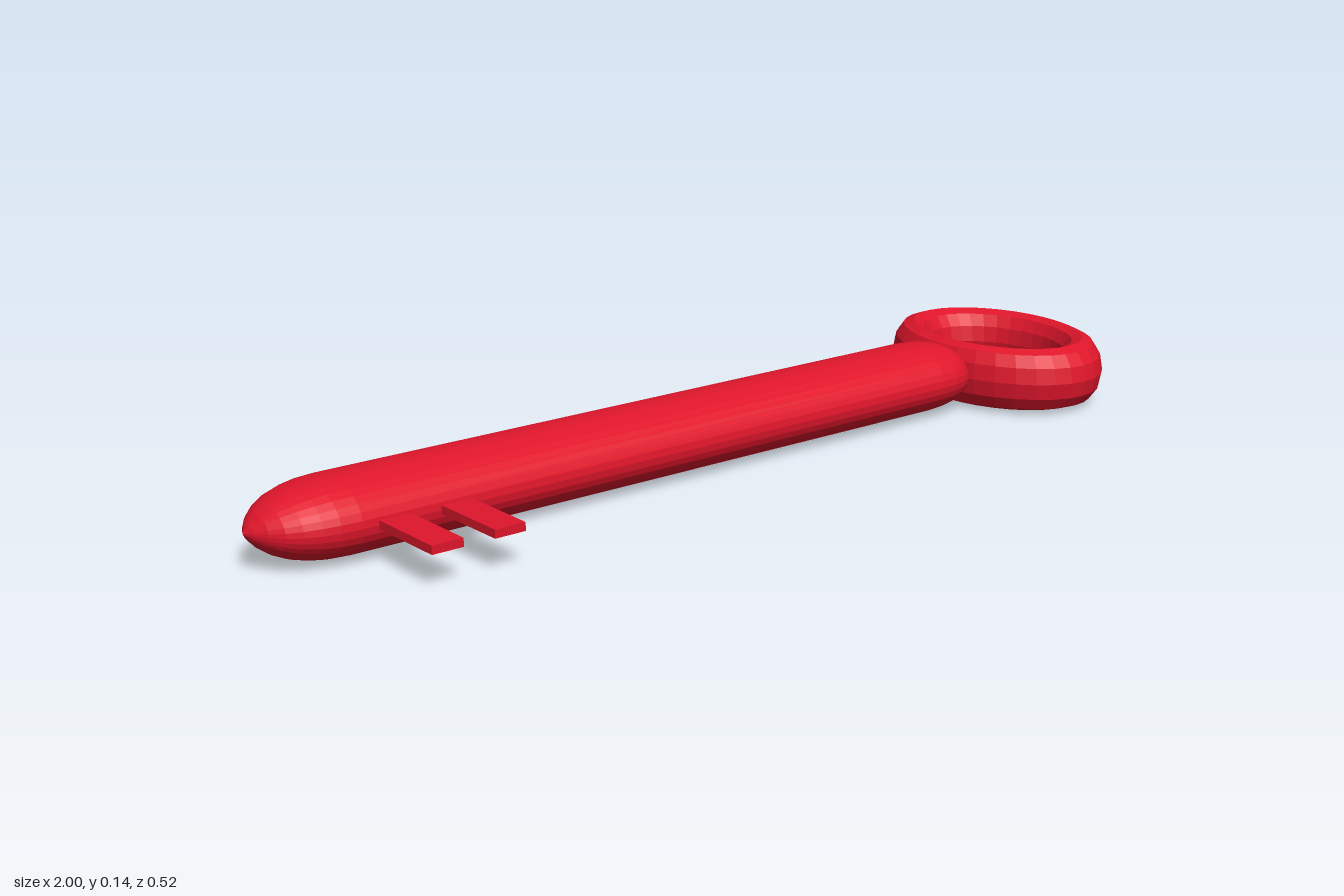
import * as THREE from 'three';

export function createModel() {
  const key = new THREE.Group();
  key.name = 'key';
  const red = new THREE.MeshStandardMaterial({ color: 0xe0162b, flatShading: true });
  const midY = 0.071, midZ = -0.005;

  const add = (name, geometry, x, y, z) => {
    const mesh = new THREE.Mesh(geometry, red);
    mesh.name = name;
    mesh.position.set(x, y, z);
    key.add(mesh);
    return mesh;
  };

  // Shaft: oval bar along x, with a rounded tip and a shoulder tucked into the ring
  const profile = [
    [0, -1], [0.022, -0.99], [0.045, -0.975], [0.066, -0.955], [0.083, -0.93],
    [0.095, -0.9], [0.102, -0.87], [0.105, -0.83],
    [0.105, 0.55], [0.102, 0.59], [0.095, 0.62], [0.085, 0.64], [0.06, 0.66], [0, 0.67],
  ].map(([r, x]) => new THREE.Vector2(r, x));
  const shaft = new THREE.LatheGeometry(profile, 32);
  shaft.rotateZ(-Math.PI / 2);
  shaft.scale(1, 0.071 / 0.105, 1);
  add('shaft', shaft, 0, midY, midZ);

  // Ring handle: oval loop lying flat, with a tall tube section
  const ring = new THREE.TorusGeometry(0.206, 0.05, 12, 32);
  ring.rotateX(Math.PI / 2);
  ring.scale(0.72, 1.33, 1);
  add('ringHandle', ring, 0.813, midY, midZ);

  // Two flat teeth reaching out to the front
  for (const x of [-0.769, -0.645]) {
    add('tooth', new THREE.BoxGeometry(0.062, 0.016, 0.213), x, 0.072, 0.1565);
  }
  return key;
}
